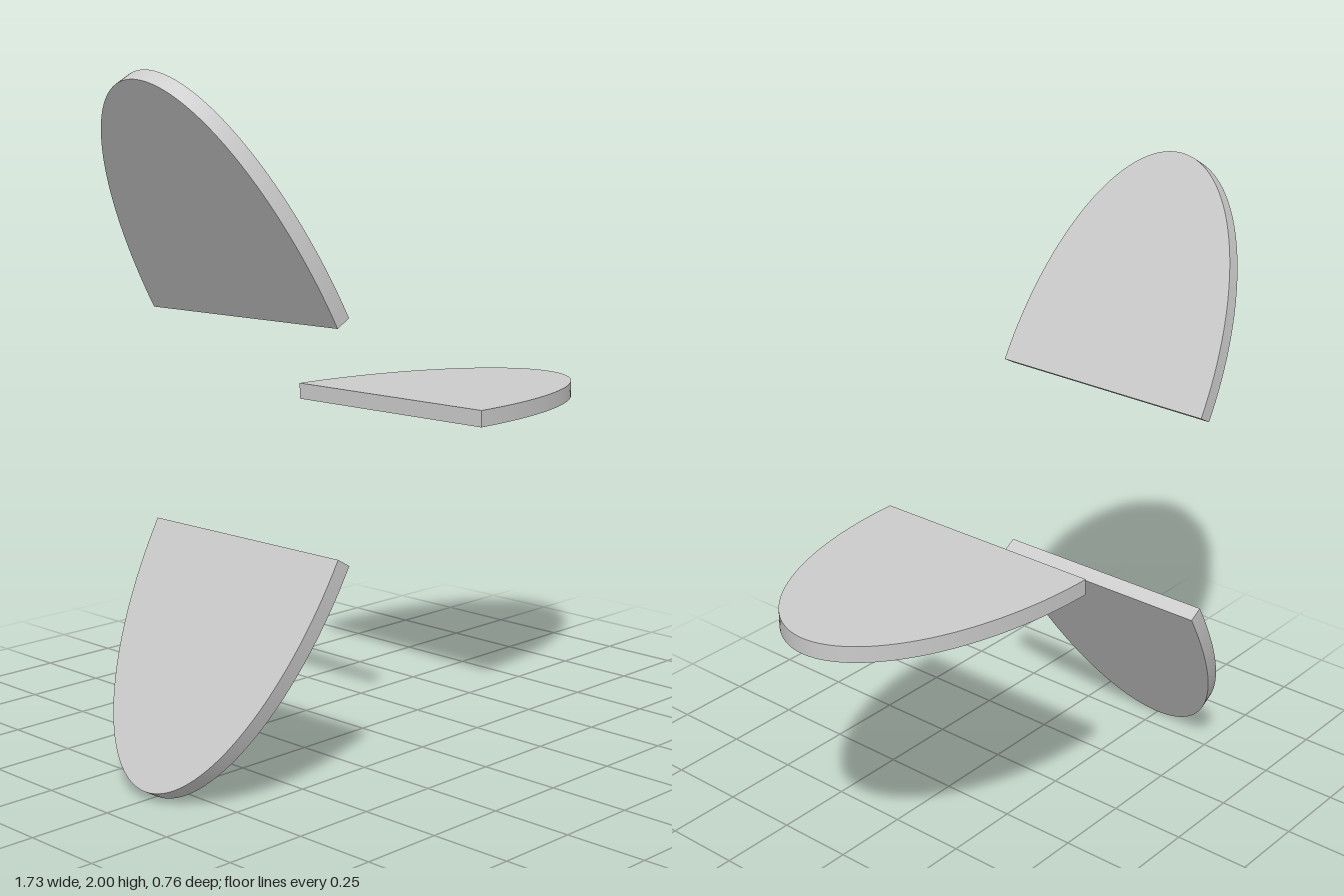
import * as THREE from 'three';
import { toCreasedNormals } from 'three/addons/utils/BufferGeometryUtils.js';

const ROOT = 0.38;      // distance from the axis to the straight edge
const LENGTH = 0.76;
const HALF_WIDTH = 0.38;
const THICKNESS = 0.05;

// Half-elliptical plate lying flat, pointing along +x
function finGeometry() {
  const shape = new THREE.Shape();
  shape.moveTo(0, -HALF_WIDTH);
  shape.absellipse(0, 0, LENGTH, HALF_WIDTH, -Math.PI / 2, Math.PI / 2, false, 0);
  shape.closePath();
  const geometry = new THREE.ExtrudeGeometry(shape, {
    depth: THICKNESS, bevelEnabled: false, curveSegments: 32,
  });
  geometry.translate(ROOT, 0, -THICKNESS / 2);
  geometry.rotateX(-Math.PI / 2);
  return toCreasedNormals(geometry, 0.5);
}

export function createModel() {
  const model = new THREE.Group();
  model.name = 'finSet';
  const material = new THREE.MeshStandardMaterial({ color: 0xcccccc });
  const geometry = finGeometry();

  // Three fins evenly spaced about a front-to-back axis
  ['sideFin', 'upperFin', 'lowerFin'].forEach((name, i) => {
    const fin = new THREE.Mesh(geometry, material);
    fin.name = name;
    fin.rotation.z = (i * 2 * Math.PI) / 3;
    fin.position.set(-0.275, 1, 0);
    model.add(fin);
  });
  return model;
}
